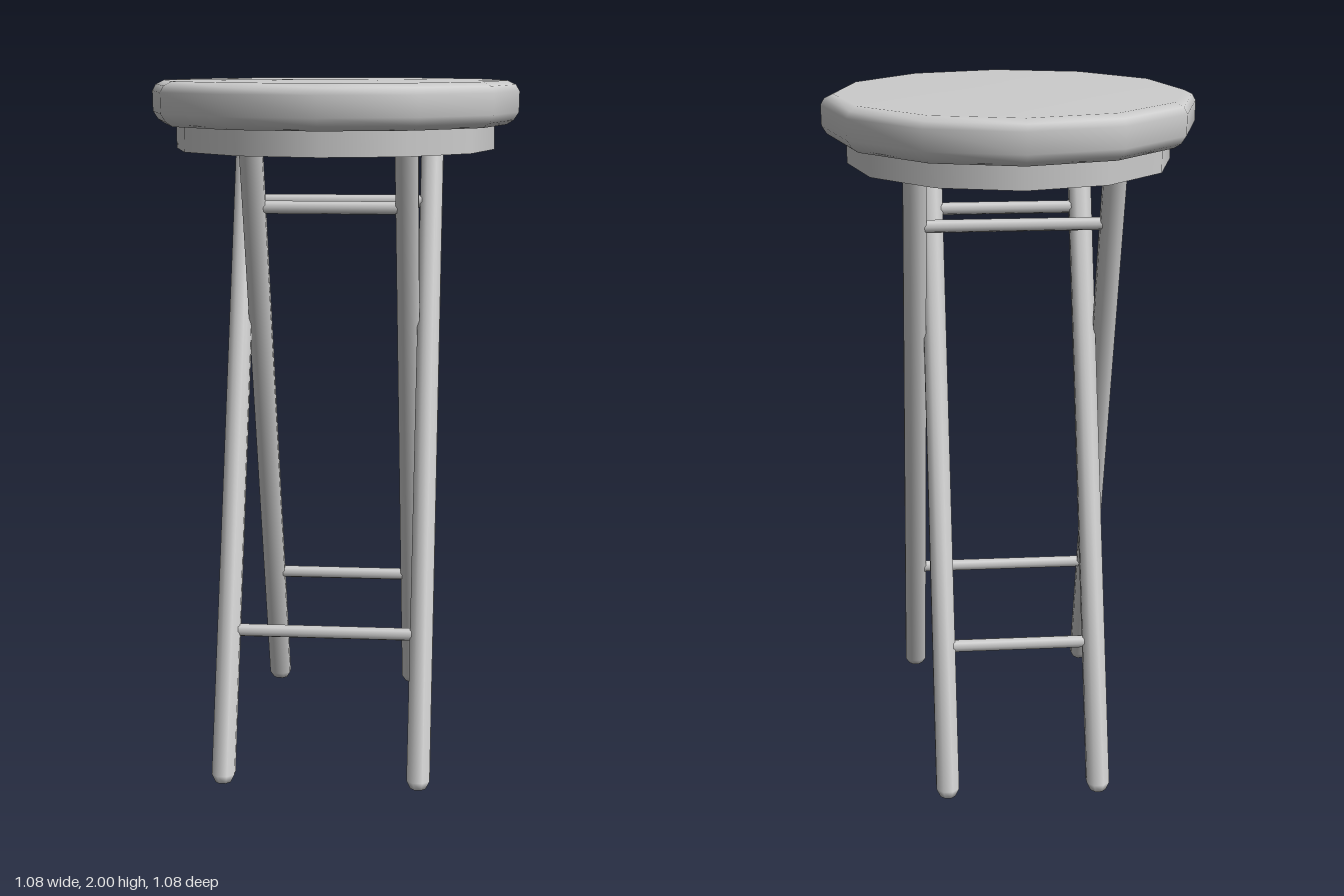
import * as THREE from 'three';

const V = (x, y) => new THREE.Vector2(x, y);
const SLOPE = 0.358; // sideways lean of a leg per unit of height
const FOOT_Z = 0.46;

export function createModel() {
  const group = new THREE.Group();
  group.name = 'foldingStool';
  const grey = new THREE.MeshStandardMaterial({ color: 0xcccccc });
  grey.name = 'lightGrey';

  const add = (name, geometry, parent = group) => {
    const mesh = new THREE.Mesh(geometry, grey);
    mesh.name = name;
    parent.add(mesh);
    return mesh;
  };

  // Padded twelve-sided seat with a rounded rim
  const profile = [
    V(0, 1.872), V(0.505, 1.872), V(0.525, 1.885), V(0.54, 1.908),
    V(0.541, 1.968), V(0.53, 1.987), V(0.505, 1.999), V(0, 2),
  ];
  add('seatCushion', new THREE.LatheGeometry(profile, 12));

  // Board under the cushion
  add('seatBase', new THREE.CylinderGeometry(0.47, 0.47, 0.08, 12)).position.y = 1.84;

  // Leg: a chamfered post sheared so the foot stays flat on the floor
  function legGeometry(dir) {
    const outline = [V(0, 0), V(0.024, 0), V(0.036, 0.022), V(0.036, 1.82), V(0, 1.82)];
    const g = new THREE.LatheGeometry(outline, 8, Math.PI / 8);
    const p = g.attributes.position;
    for (let i = 0; i < p.count; i++) {
      p.setZ(i, p.getZ(i) + dir * (FOOT_Z - SLOPE * p.getY(i)));
    }
    g.computeVertexNormals();
    // Join the shading across the lathe seam
    const n = g.attributes.normal, ring = outline.length, last = 8 * ring;
    for (let i = 0; i < ring; i++) {
      const v = new THREE.Vector3().fromBufferAttribute(n, i)
        .add(new THREE.Vector3().fromBufferAttribute(n, last + i)).normalize();
      n.setXYZ(i, v.x, v.y, v.z);
      n.setXYZ(last + i, v.x, v.y, v.z);
    }
    return g;
  }

  // Two crossing frames: the wide one stands forward, the narrow one back
  for (const [name, dir, x] of [['outerFrame', 1, 0.283], ['innerFrame', -1, 0.223]]) {
    const frame = new THREE.Group();
    frame.name = name;
    group.add(frame);
    for (const side of [-1, 1]) {
      add(side > 0 ? 'leftLeg' : 'rightLeg', legGeometry(dir), frame).position.x = side * x;
    }
    for (const [rungName, y] of [['lowerRung', 0.412], ['upperRung', 1.637]]) {
      const rung = add(rungName, new THREE.CylinderGeometry(0.019, 0.019, 2 * x, 8), frame);
      rung.rotation.z = Math.PI / 2;
      rung.position.set(0, y, dir * (FOOT_Z - SLOPE * y));
    }
  }
  return group;
}
